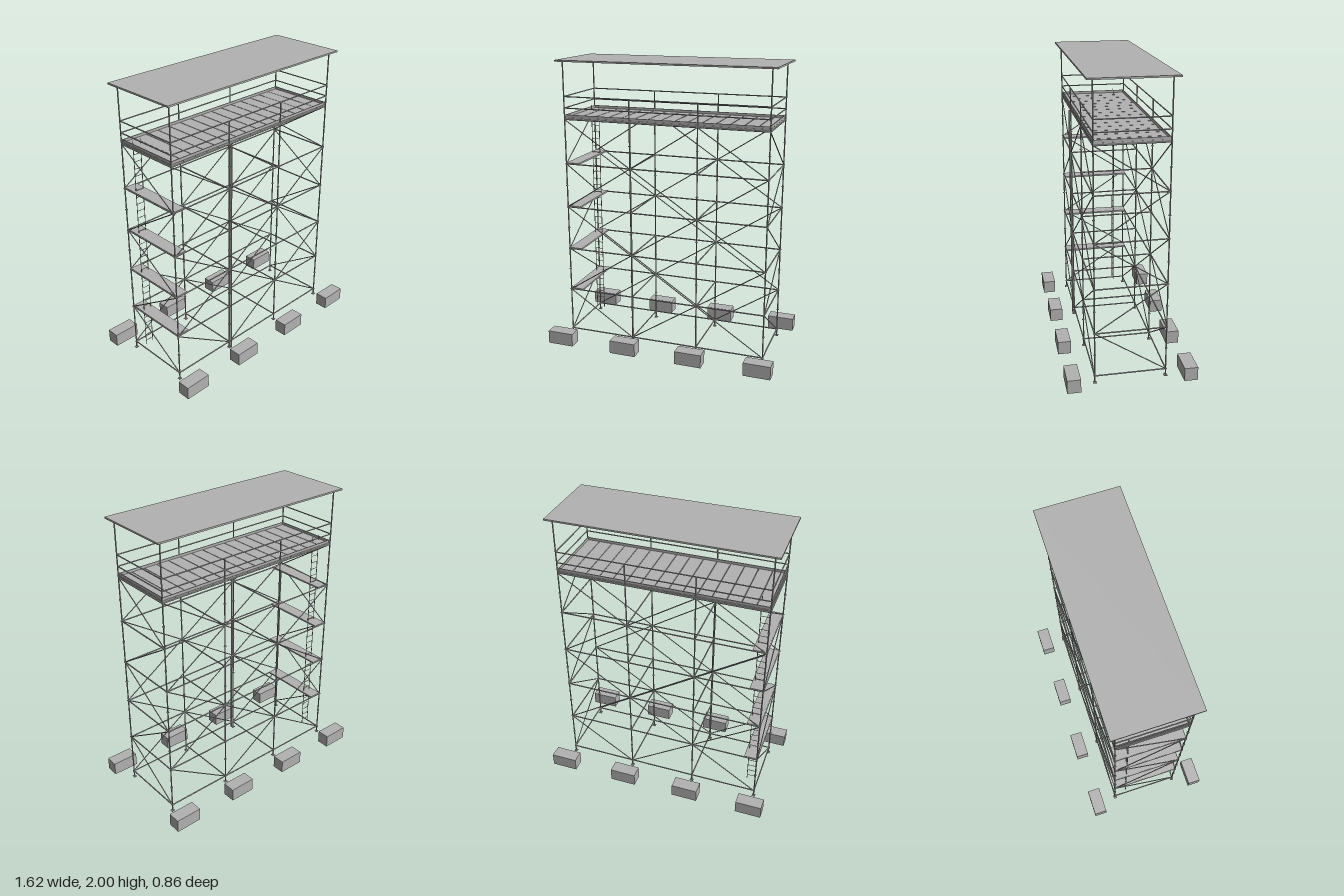
import * as THREE from 'three';

const X = [-0.712, -0.237, 0.237, 0.712];              // post rows along the front
const Z = 0.237;                                       // front and back post planes
const LEVELS = [0.05, 0.36, 0.67, 0.98, 1.29, 1.6];    // ledger heights

export function createModel() {
  const model = new THREE.Group();
  const grey = new THREE.MeshStandardMaterial({ color: 0xb2b2b2 });
  grey.name = 'galvanised grey';

  const group = (name) => {
    const g = new THREE.Group();
    g.name = name;
    model.add(g);
    return g;
  };

  // Box given by its min and max corners
  const box = (parent, name, a, b) => {
    const m = new THREE.Mesh(new THREE.BoxGeometry(b[0] - a[0], b[1] - a[1], b[2] - a[2]), grey);
    m.position.set((a[0] + b[0]) / 2, (a[1] + b[1]) / 2, (a[2] + b[2]) / 2);
    m.name = name;
    parent.add(m);
  };

  // Round tube between two points
  const tube = (parent, name, a, b, r = 0.0045) => {
    const p = new THREE.Vector3(...a), q = new THREE.Vector3(...b);
    const d = q.clone().sub(p);
    const m = new THREE.Mesh(new THREE.CylinderGeometry(r, r, d.length(), 10), grey);
    m.position.copy(p).add(q).multiplyScalar(0.5);
    m.quaternion.setFromUnitVectors(new THREE.Vector3(0, 1, 0), d.normalize());
    m.name = name;
    parent.add(m);
  };

  // Upright posts with base plates and collars
  const posts = group('posts');
  X.forEach((x, i) => {
    const top = i === 0 || i === 3 ? 1.99 : 1.757;
    for (const z of [-Z, Z]) {
      tube(posts, 'post', [x, 0, z], [x, top, z], 0.0045);
      box(posts, 'basePlate', [x - 0.012, 0, z - 0.012], [x + 0.012, 0.003, z + 0.012]);
      for (let y = 0.05; y < 1.6; y += 0.155) {
        tube(posts, 'collar', [x, y - 0.002, z], [x, y + 0.002, z], 0.009);
      }
    }
  });
  tube(posts, 'sidePipe', [-0.23, 0, Z + 0.012], [-0.23, 1.6, Z + 0.012], 0.006);

  // Horizontal ledgers and cross tubes
  const ledgers = group('ledgers');
  for (const y of LEVELS) {
    for (const z of [-Z, Z]) tube(ledgers, 'ledger', [X[0], y, z], [X[3], y, z]);
    for (const x of X) tube(ledgers, 'crossTube', [x, y, -Z], [x, y, Z]);
  }

  // Zigzag diagonals, opposite on facing sides
  const braces = group('diagonalBraces');
  for (let l = 0; l < 5; l++) {
    const y0 = LEVELS[l], y1 = LEVELS[l + 1];
    for (const s of [1, -1]) {
      for (let i = 0; i < 3; i++) {
        const flip = (i + l + (s > 0 ? 1 : 0)) % 2 === 0;
        const lo = flip ? X[i] : X[i + 1], hi = flip ? X[i + 1] : X[i];
        const z = s * (Z + 0.003);
        tube(braces, 'brace', [lo, y0, z], [hi, y1, z], 0.0035);
      }
      const zLow = (l % 2 === 0 ? -1 : 1) * s * Z;
      tube(braces, 'endBrace', [s * X[3], y0, zLow], [s * X[3], y1, -zLow], 0.0035);
    }
  }

  // Deck planks and toe boards
  const deck = group('deck');
  const step = (X[3] - X[0]) / 15;
  for (let i = 0; i < 15; i++) {
    const x = X[0] + i * step;
    box(deck, 'plank', [x + 0.002, 1.603, -Z], [x + step - 0.002, 1.614, Z]);
  }
  for (const s of [-1, 1]) {
    const z = s * (Z - 0.007), x = s * (X[3] - 0.007);
    box(deck, 'toeBoard', [X[0], 1.606, z - 0.003], [X[3], 1.632, z + 0.003]);
    box(deck, 'endToeBoard', [x - 0.003, 1.606, -Z], [x + 0.003, 1.632, Z]);
  }

  // Guard rails
  const rails = group('guardRails');
  for (const y of [1.677, 1.755]) {
    for (const s of [-1, 1]) {
      tube(rails, 'longRail', [X[0], y, s * Z], [X[3], y, s * Z], 0.004);
      tube(rails, 'endRail', [s * X[3], y, -Z], [s * X[3], y, Z], 0.004);
    }
  }

  // Narrow landings in the ladder bay
  const landings = group('landings');
  for (const y of LEVELS.slice(1, 5)) {
    box(landings, 'landing', [X[0], y - 0.003, -Z], [-0.62, y + 0.008, Z]);
  }

  // Ladder
  const ladder = group('ladder');
  const lz = -0.145, lx = [-0.693, -0.635];
  for (const x of lx) tube(ladder, 'ladderRail', [x, 0.07, lz], [x, 1.645, lz], 0.0025);
  for (let y = 0.1; y < 1.64; y += 0.05) {
    tube(ladder, 'rung', [lx[0], y, lz], [lx[1], y, lz], 0.002);
  }

  // Flat roof
  box(model, 'roof', [-0.752, 1.989, -0.277], [0.752, 2, 0.277]);

  // Loose ballast blocks
  const ballast = group('ballastBlocks');
  for (const x of [-0.716, -0.239, 0.239, 0.716]) {
    for (const s of [-1, 1]) {
      const z = s * 0.386;
      box(ballast, 'ballastBlock', [x - 0.093, 0.003, z - 0.045], [x + 0.093, 0.096, z + 0.045]);
    }
  }
  return model;
}
